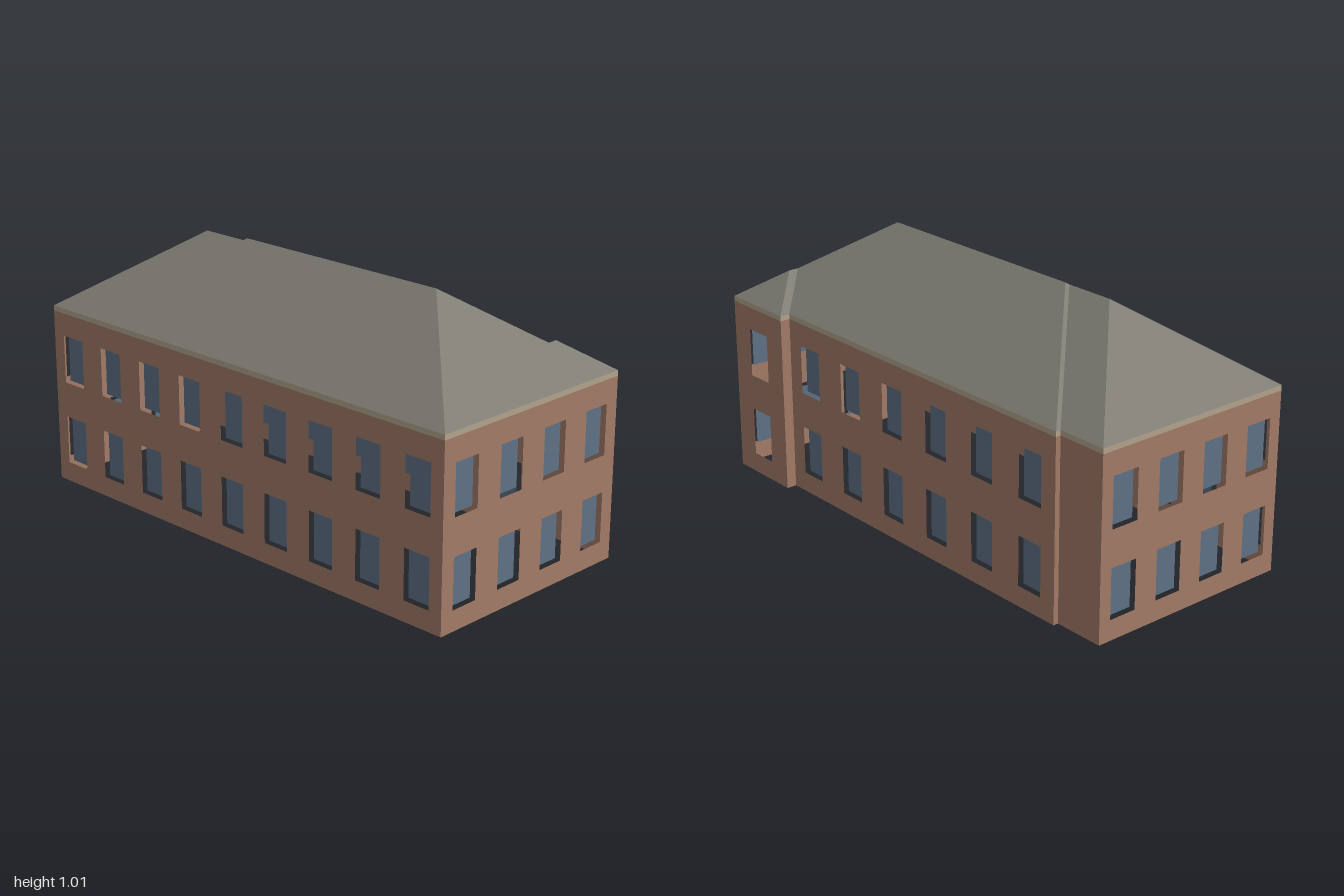
import * as THREE from 'three';

const material = (name, color) =>
  new THREE.MeshStandardMaterial({ name, color, side: THREE.DoubleSide });

const WALL_TOP = 0.687, EAVE = 0.707, PITCH = 0.703;
const WIN_W = 0.112, WIN_H = 0.19, SILLS = [0.078, 0.408];
const GAP = 0.004, RECESS = 0.02;

// Stepped footprint: corners [x, z] and the number of window bays on the wall that follows
const footprint = [
  { at: [-0.45, 1], name: 'front', bays: 4, glazed: true },
  { at: [0.45, 1], name: 'frontWingSide', bays: 1, glazed: false },
  { at: [0.45, 0.69], name: 'frontStep', bays: 0 },
  { at: [0.41, 0.69], name: 'leftSide', bays: 6, glazed: true },
  { at: [0.41, -0.8], name: 'backStep', bays: 0 },
  { at: [0.39, -0.8], name: 'backWingSide', bays: 0 },
  { at: [0.39, -1], name: 'back', bays: 4, glazed: true },
  { at: [-0.45, -1], name: 'rightSide', bays: 9, glazed: true },
];

// Roof faces: plan outline [x, z] and the plan distance from the face's own eave
const roofFaces = [
  { name: 'frontHip', rise: (x, z) => 1 - z,
    plan: [[-0.45, 1], [0.45, 1], [0.295, 0.845], [0.255, 0.845], [-0.02, 0.57]] },
  { name: 'frontWingSlope', rise: (x) => 0.45 - x,
    plan: [[0.45, 1], [0.45, 0.69], [0.295, 0.845]] },
  { name: 'frontStepSlope', rise: (x, z) => z - 0.69,
    plan: [[0.45, 0.69], [0.41, 0.69], [0.255, 0.845], [0.295, 0.845]] },
  { name: 'leftSlope', rise: (x) => 0.41 - x,
    plan: [[0.41, 0.69], [0.41, -0.8], [-0.02, -0.37], [-0.02, 0.57], [0.255, 0.845]] },
  { name: 'backStepSlope', rise: (x, z) => z + 0.8,
    plan: [[0.41, -0.8], [0.39, -0.8], [-0.03, -0.38], [-0.02, -0.37]] },
  { name: 'backWingSlope', rise: (x) => 0.39 - x,
    plan: [[0.39, -0.8], [0.39, -1], [-0.03, -0.58], [-0.03, -0.38]] },
  { name: 'backHip', rise: (x, z) => z + 1,
    plan: [[0.39, -1], [-0.45, -1], [-0.03, -0.58]] },
  { name: 'rightSlope', rise: (x) => x + 0.45,
    plan: [[-0.45, -1], [-0.45, 1], [-0.02, 0.57], [-0.02, -0.37], [-0.03, -0.38], [-0.03, -0.58]] },
];

// Rectangle path from its lower left corner
function rect(path, x, y, w, h) {
  path.moveTo(x, y);
  path.lineTo(x + w, y);
  path.lineTo(x + w, y + h);
  path.lineTo(x, y + h);
  path.closePath();
  return path;
}

function addMesh(parent, name, geometry, mat) {
  const mesh = new THREE.Mesh(geometry, mat);
  mesh.name = name;
  parent.add(mesh);
  return mesh;
}

// One wall with window openings, recessed panes and a cornice band
function buildWall({ at: [ax, az], name, bays, glazed }, [bx, bz], mats) {
  const wall = new THREE.Group();
  wall.name = name + 'Wall';
  wall.position.set(ax, 0, az);
  wall.rotation.y = Math.atan2(az - bz, bx - ax);
  const length = Math.hypot(bx - ax, bz - az);

  const shape = rect(new THREE.Shape(), 0, 0, length, WALL_TOP);
  for (let i = 0; i < bays; i++) {
    const u = (length * (i + 0.5)) / bays;
    for (const sill of SILLS) {
      shape.holes.push(rect(new THREE.Path(), u - WIN_W / 2, sill, WIN_W, WIN_H));
      if (!glazed) continue;
      const pane = new THREE.PlaneGeometry(WIN_W - 2 * GAP, WIN_H - 2 * GAP);
      addMesh(wall, 'windowPane', pane, mats.glass).position.set(u, sill + WIN_H / 2, -RECESS);
    }
  }
  addMesh(wall, 'brickwork', new THREE.ShapeGeometry(shape), mats.brick);

  const band = new THREE.PlaneGeometry(length, EAVE - WALL_TOP);
  addMesh(wall, 'cornice', band, mats.stone).position.set(length / 2, (EAVE + WALL_TOP) / 2, 0);
  return wall;
}

// One flat roof slope, lifted from its plan outline
function slopeGeometry({ plan, rise }) {
  const shape = new THREE.Shape(plan.map(([x, z]) => new THREE.Vector2(x, -z)));
  const geometry = new THREE.ShapeGeometry(shape);
  const p = geometry.attributes.position;
  for (let i = 0; i < p.count; i++) {
    const x = p.getX(i), z = -p.getY(i);
    p.setXYZ(i, x, EAVE + PITCH * rise(x, z), z);
  }
  geometry.computeVertexNormals();
  return geometry;
}

export function createModel() {
  const mats = {
    brick: material('brick', 0xa47c69),
    stone: material('cornice stone', 0xb3a58e),
    roof: material('roof slate', 0x7f7d74),
    glass: material('window glass', 0x607387),
  };
  const model = new THREE.Group();
  model.name = 'building';

  const walls = new THREE.Group();
  walls.name = 'walls';
  footprint.forEach((side, i) => {
    walls.add(buildWall(side, footprint[(i + 1) % footprint.length].at, mats));
  });

  const roof = new THREE.Group();
  roof.name = 'roof';
  for (const face of roofFaces) addMesh(roof, face.name, slopeGeometry(face), mats.roof);

  model.add(walls, roof);
  return model;
}
